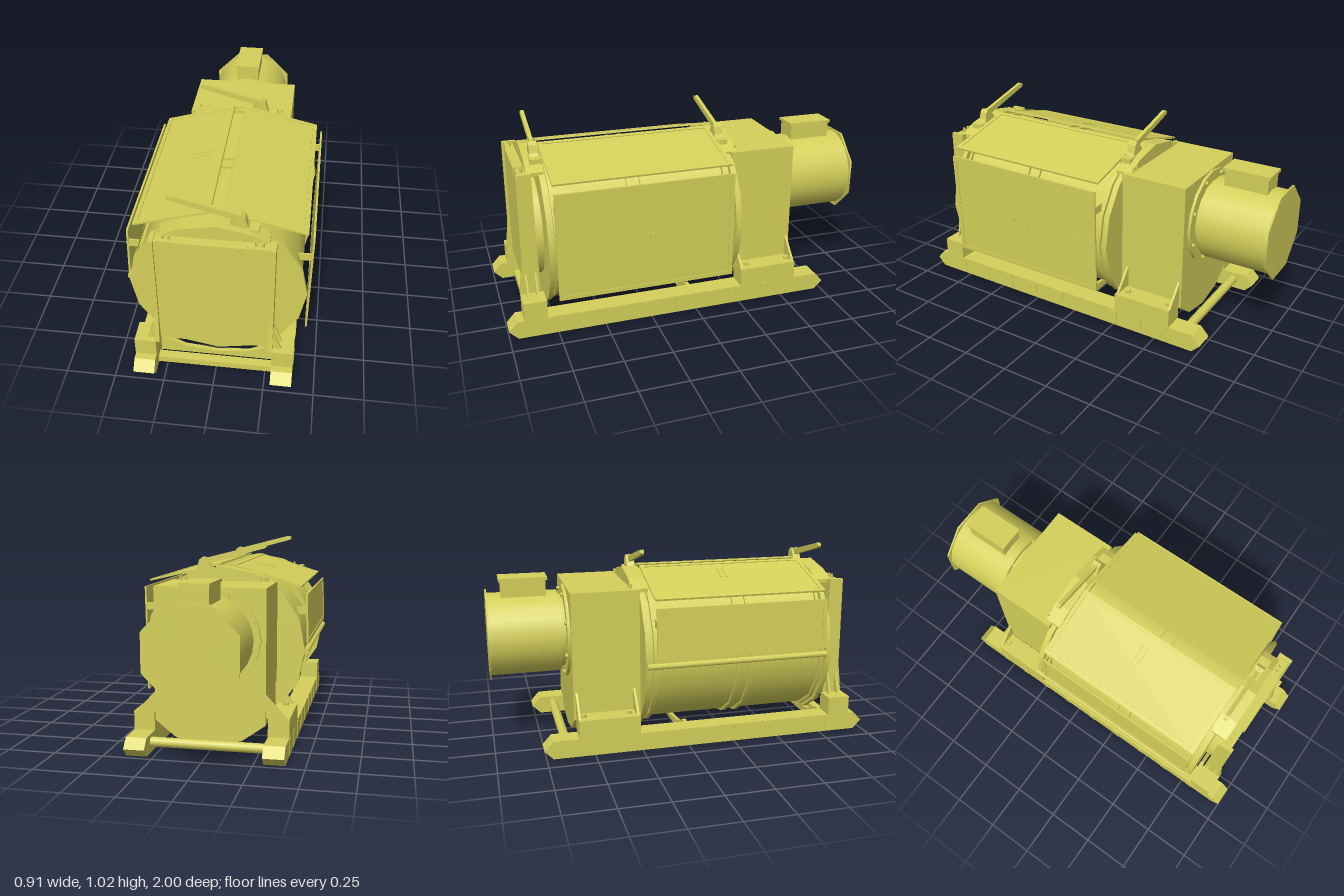
import * as THREE from 'three';

const paint = new THREE.MeshStandardMaterial({ color: 0xd4d05a });
const CX = -0.007, AXIS = 0.475, R = 0.435;

export function createModel() {
  const model = new THREE.Group();
  model.name = 'skidMountedDrumMachine';

  const add = (name, geo, parent = model) => {
    const mesh = new THREE.Mesh(geo, paint);
    mesh.name = name;
    parent.add(mesh);
    return mesh;
  };
  // Box given by its limits on each axis
  const box = (name, x0, x1, y0, y1, z0, z1, parent) => {
    const geo = new THREE.BoxGeometry(x1 - x0, y1 - y0, z1 - z0);
    geo.translate((x0 + x1) / 2, (y0 + y1) / 2, (z0 + z1) / 2);
    return add(name, geo, parent);
  };
  // Cylinder lying along z
  const disc = (name, r, z0, z1, x = 0, y = AXIS, sides = 16, turn = 0) => {
    const geo = new THREE.CylinderGeometry(r, r, z1 - z0, sides);
    geo.rotateY(turn).rotateX(Math.PI / 2).translate(x, y, (z0 + z1) / 2);
    return add(name, geo);
  };
  const bolt = (name, r, h, x, y, z) =>
    add(name, new THREE.CylinderGeometry(r, r, h, 8).translate(x, y + h / 2, z));
  // Outline in x,y pushed along z
  const prism = (name, pts, z0, z1, parent) => {
    const shape = new THREE.Shape(pts.map(p => new THREE.Vector2(...p)));
    const geo = new THREE.ExtrudeGeometry(shape, { depth: z1 - z0, bevelEnabled: false });
    geo.translate(0, 0, z0);
    return add(name, geo, parent);
  };

  // Skid rails with pointed ends
  const railShape = [[-1, 0.05], [-0.955, 0.005], [0.715, 0.005], [0.76, 0.05], [0.715, 0.1], [-0.955, 0.1]];
  for (const s of [-1, 1]) {
    const x = CX + s * 0.343;
    const rail = prism('skidRail', railShape, -0.053, 0.053);
    rail.rotation.y = Math.PI / 2;
    rail.position.x = x;
    // Stiffening ribs on the outer face
    for (const z of [0.8, 0.62, 0.45, 0.28, 0.1, -0.08, -0.25, -0.4, -0.55])
      box('railRib', x + s * 0.053 - 0.003, x + s * 0.053 + 0.003, 0.01, 0.095, z - 0.02, z + 0.02);

    // Feet and their gussets
    box('frontFoot', x - 0.054, x + 0.054, 0.1, 0.197, 0.8, 0.92);
    box('rearFoot', x - 0.054, x + 0.054, 0.1, 0.197, -0.58, -0.26);
    for (const z of [-0.55, -0.31]) bolt('footBolt', 0.015, 0.015, x, 0.197, z);
    const gusset = (w, top) => [[CX + s * 0.28, 0.195], [CX + s * (0.28 + w), 0.195], [CX + s * 0.28, top]];
    for (const z of [0.83, 0.88]) prism('frontGusset', gusset(0.055, 0.34), z, z + 0.01);
    for (const z of [-0.58, -0.275]) prism('rearGusset', gusset(0.105, 0.31), z, z + 0.012);
  }
  // Cross members between the rails
  box('frontCrossbar', -0.3, 0.29, 0.01, 0.045, 0.84, 0.885);
  const tie = new THREE.CylinderGeometry(0.025, 0.025, 0.6, 10);
  tie.rotateZ(Math.PI / 2).translate(CX, 0.06, -0.64);
  add('rearCrossTube', tie);
  const cradle = [[-0.3, 0.01], [0.29, 0.01], [0.29, 0.1], [0.25, 0.1], [0.16, 0.055], [0, 0.035], [-0.17, 0.055], [-0.26, 0.1], [-0.3, 0.1]];
  for (const z of [0.785, 0.0]) prism('drumCradle', cradle, z, z + 0.02);

  // Drum with flanges and bands
  disc('drumBody', 0.405, -0.23, 0.77);
  disc('frontFlange', R, 0.755, 0.78);
  disc('frontInnerFlange', 0.42, 0.73, 0.745);
  disc('frontHub', 0.28, 0.78, 0.825);
  disc('rearFlange', R, -0.235, -0.205);
  disc('rearInnerFlange', 0.425, -0.19, -0.165);
  for (const z of [0.27, 0.34]) disc('drumBand', 0.418, z - 0.012, z + 0.012);

  // Front bearing housing
  box('frontHousing', -0.297, 0.283, 0.197, 0.835, 0.825, 0.885);
  for (const s of [-1, 1]) {
    const x = CX + s * 0.28;
    const post = prism('frontPost', [[-0.92, 0.197], [-0.815, 0.197], [-0.822, 0.84], [-0.897, 0.84], [-0.9, 0.36]], -0.011, 0.011);
    post.rotation.y = Math.PI / 2;
    post.position.x = x;
    for (const dx of [0.2, 0.23])
      for (const z of [0.86, -0.27]) bolt('coverBolt', 0.007, 0.022, CX + s * dx, 0.835, z);
  }
  box('frontTopBracket', -0.165, 0.155, 0.797, 0.84, 0.87, 0.893);

  // Rear housing, its base following the drum outline
  prism('rearHousing', [[-0.287, 0.835], [-0.287, 0.16], [-0.166, 0.073], [0, 0.042], [0.166, 0.073], [0.275, 0.16], [0.275, 0.835]], -0.59, -0.232);

  // Peaked straps carrying the locking levers
  const strap = [[-0.26, 0.815], [0.25, 0.815], [0.25, 0.835], [0.165, 0.877], [0, 0.91], [-0.166, 0.877], [-0.26, 0.835]];
  for (const [z0, z1] of [[0.755, 0.84], [-0.27, -0.185]]) {
    prism('topStrap', strap, z0, z1);
    const lever = new THREE.Group();
    lever.name = 'lockingLever';
    const zc = z0 < 0 ? -0.205 : 0.783;
    prism('leverPivot', [[0.06, 0.89], [0.17, 0.86], [0.145, 0.9], [0.135, 0.94], [0.115, 0.955], [0.1, 0.95]], -0.022, 0.022, lever);
    prism('leverArm', [[-0.215, 1.003], [0.12, 0.91], [0.13, 0.93], [0.13, 0.945], [0.115, 0.955], [0.09, 0.952], [-0.205, 1.028], [-0.222, 1.024], [-0.226, 1.012]], -0.01, 0.01, lever);
    box('leverBase', 0.02, 0.2, 0.85, 0.885, -0.03, 0.03, lever);
    lever.position.z = zc;
    model.add(lever);
  }

  // Guard panels: a thin board with a raised rim, set between two points in x,y
  const panel = (name, [xa, ya], [xb, yb], z0 = -0.18, z1 = 0.745) => {
    const g = new THREE.Group();
    g.name = name;
    const h = Math.hypot(xb - xa, yb - ya) / 2;
    box(name + 'Board', -h, h, -0.004, 0.001, z0, z1, g);
    for (const s of [-1, 1])
      box(name + 'LongRim', s * (h - 0.011) - 0.011, s * (h - 0.011) + 0.011, -0.005, 0.005, z0, z1, g);
    for (const z of [z0, z1 - 0.022])
      box(name + 'EndRim', -h, h, -0.005, 0.005, z, z + 0.022, g);
    g.position.set((xa + xb) / 2, (ya + yb) / 2, 0);
    g.rotation.z = Math.atan2(yb - ya, xb - xa);
    model.add(g);
    return g;
  };
  const leftTop = panel('leftTopGuard', [0.028, 0.915], [0.422, 0.823]);
  const rightTop = panel('rightTopGuard', [-0.405, 0.802], [-0.033, 0.913]);
  const side = panel('leftSideGuard', [0.449, 0.787], [0.44, 0.215]);
  panel('rightSideGuard', [-0.443, 0.5], [-0.434, 0.765]);

  // Slat and latches on the large side guard, handle on the top guard
  box('sideSlat', -0.02, 0.02, -0.004, 0.003, -0.16, 0.725, side);
  for (const z of [0.35, 0.26]) box('sideLatch', -0.02, 0.02, -0.004, 0.006, z - 0.012, z + 0.012, side);
  for (const z of [0.235, 0.265]) box('topHandle', 0.02, 0.12, 0, 0.005, z - 0.004, z + 0.004, rightTop);

  // Inner stays holding the guards to the drum ends
  for (const z of [-0.175, 0.735]) {
    prism('leftGuardStay', [[0.39, 0.66], [0.445, 0.66], [0.445, 0.7], [0.38, 0.7]], z - 0.004, z + 0.004);
    prism('rightGuardStay', [[-0.39, 0.66], [-0.38, 0.7], [-0.437, 0.7], [-0.439, 0.66]], z - 0.004, z + 0.004);
  }
  // Tube under the short guard
  disc('guardTube', 0.016, -0.23, 0.75, -0.439, 0.467, 10);

  // Motor
  const mx = -0.014, my = 0.583;
  disc('motorMount', 0.25, -0.605, -0.588, mx, my, 16);
  disc('motorNeck', 0.195, -0.635, -0.6, mx, my, 16);
  disc('motorBody', 0.218, -0.99, -0.628, mx, my, 24);
  disc('motorEndPlate', 0.243, -1, -0.99, mx, my, 8, Math.PI / 8);
  for (let i = 0; i < 8; i++) {
    const a = (i + 0.5) * Math.PI / 4;
    disc('mountBolt', 0.011, -0.617, -0.603, mx + 0.228 * Math.cos(a), my + 0.228 * Math.sin(a), 8);
  }
  box('terminalBox', mx - 0.07, mx + 0.06, 0.76, 0.875, -0.92, -0.69);
  box('terminalLid', mx - 0.075, mx + 0.065, 0.872, 0.888, -0.93, -0.68);

  return model;
}
